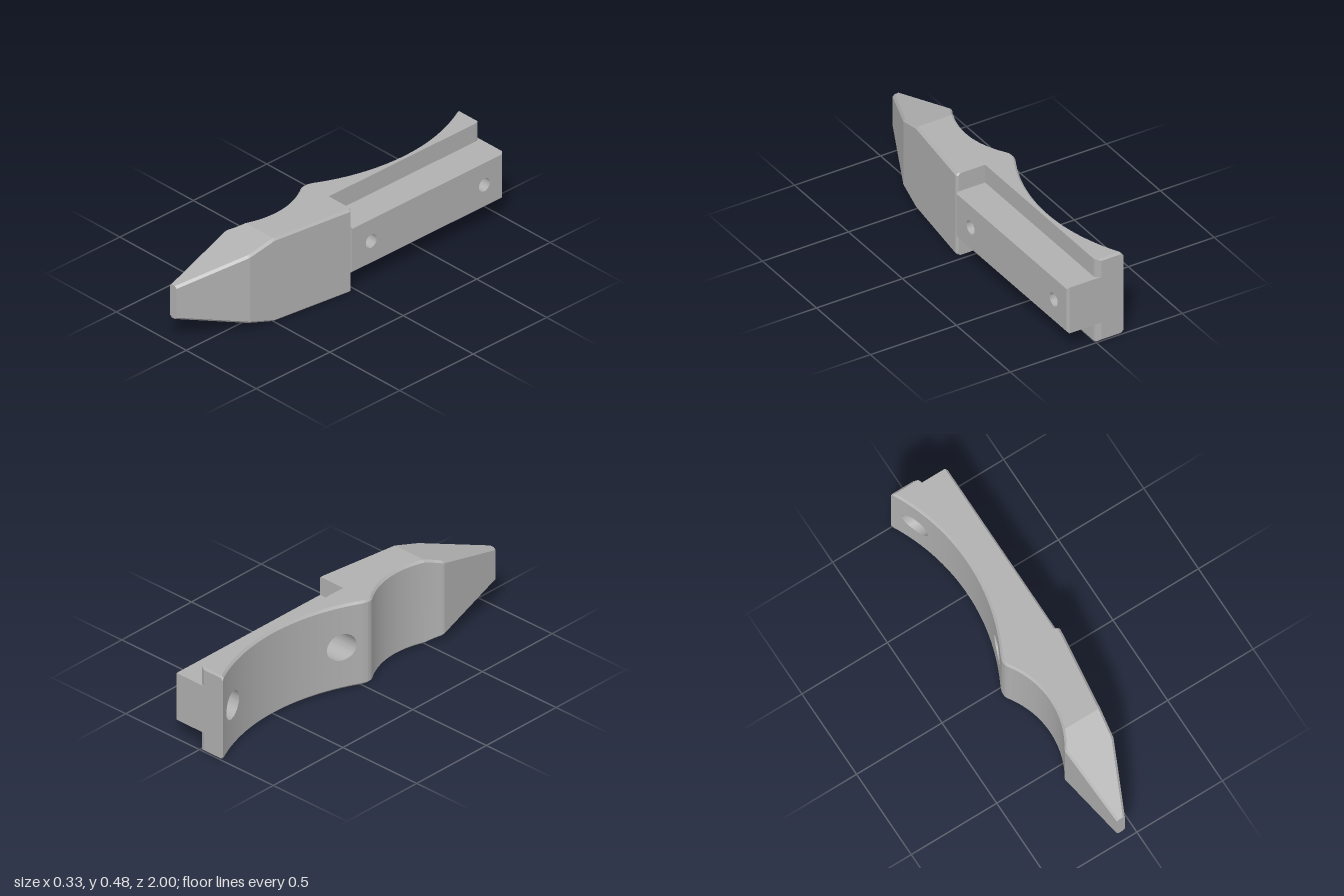
import * as THREE from 'three';
import { toCreasedNormals } from 'three/addons/utils/BufferGeometryUtils.js';

const H = 0.48, MID = 0.24, C = 0.012;          // height, mid height, edge chamfer
const STEP = 0.03;                               // where the thick nose meets the rail
const RAIL_LO = 0.108, RAIL_HI = 0.376, RAIL_X = 0.166;
const HOLES = [-0.1, -0.87], BORE = 0.075, PIN = 0.037, FLOOR = 0.07, PATCH = 0.1;

// piecewise linear lookup
function lerpPath(pts, z) {
  for (let i = 1; i < pts.length; i++) {
    const [z0, x0] = pts[i - 1], [z1, x1] = pts[i];
    if (z <= z1) return x0 + (x1 - x0) * (z - z0) / (z1 - z0);
  }
  return pts[pts.length - 1][1];
}
const arc = (z, mid, top, r) => top - (r - Math.sqrt(r * r - (z - mid) ** 2));

// scalloped finger side
function leftX(z) {
  if (z <= 0) return arc(z, -0.5, -0.033, 1.06);
  if (z < 0.07) return lerpPath([[0, -0.157], [0.015, -0.164], [0.03, -0.168], [0.05, -0.168], [0.07, -0.162]], z);
  if (z < 0.59) return arc(z, 0.33, -0.08, 0.46);
  return lerpPath([[0.59, -0.157], [1, -0.117]], z);
}
// flat side: thin slab with rounded tail, then thick nose
function rightX(z, nose) {
  if (nose) return lerpPath([[STEP, 0.156], [0.04, 0.165], [0.65, 0.087], [1, -0.07]], z);
  return z < -0.97 ? -0.03 + Math.sqrt(Math.max(0, 0.0009 - (z + 0.97) ** 2)) : 0;
}
const topY = z => lerpPath([[-1, H - 0.01], [-0.99, H], [0.5, H], [1, 0.335]], z);

function ring(z, nose) {
  const l = leftX(z), r = rightX(z, nose), t = topY(z), b = H - t, cr = nose ? C : 0;
  return [
    [l, b + C], [l, t - C], [l + C, t], [r - cr, t], [r, t - cr],
    [r, Math.min(RAIL_HI, t - C)], [r, Math.max(RAIL_LO, b + C)],
    [r, b + cr], [r - cr, b], [l + C, b],
  ].map(([x, y]) => [x, y, z]);
}

function bodyGeometry() {
  const pos = [];
  const tri = (a, b, c) => pos.push(...a, ...b, ...c);
  const quad = (a, b, c, d) => { tri(a, b, c); tri(a, c, d); };

  // cross-sections from tail to tip
  const rings = [];
  for (let i = -100; i <= 100; i++) {
    const z = i / 100;
    if (i <= 3) rings.push({ z, p: ring(z, false) });
    if (i >= 3) rings.push({ z, p: ring(z, true) });
  }
  for (let k = 1; k < rings.length; k++) {
    const a = rings[k - 1], b = rings[k], zm = (a.z + b.z) / 2;
    for (let i = 0; i < 10; i++) {
      const j = (i + 1) % 10;
      if (i === 0 && HOLES.some(h => Math.abs(zm - h) < PATCH)) continue; // bored panel
      if (i === 5 && zm < STEP) continue;                                // behind the rail
      quad(a.p[i], b.p[i], b.p[j], a.p[j]);
    }
  }
  const tail = rings[0].p, tip = rings[rings.length - 1].p;
  for (let i = 1; i < 9; i++) {
    tri(tail[0], tail[i], tail[i + 1]);
    tri(tip[0], tip[i + 1], tip[i]);
  }

  // scalloped wall panels around each counterbore, and the bore walls
  const v = MID - C, nx = 20, ny = 40, edge = [];
  for (let i = 0; i < ny; i++) edge.push([PATCH, -v + 2 * v * i / ny]);
  for (let i = 0; i < nx; i++) edge.push([PATCH - 2 * PATCH * i / nx, v]);
  for (let i = 0; i < ny; i++) edge.push([-PATCH, v - 2 * v * i / ny]);
  for (let i = 0; i < nx; i++) edge.push([-PATCH + 2 * PATCH * i / nx, -v]);
  for (const hz of HOLES) {
    const at = (i, t) => {
      const [ez, ey] = edge[i % edge.length], s = BORE / Math.hypot(ez, ey);
      const z = hz + ez * (s + (1 - s) * t), y = MID + ey * (s + (1 - s) * t);
      return [leftX(z), y, z];
    };
    const deep = p => [FLOOR, p[1], p[2]];
    for (let i = 0; i < edge.length; i++) {
      for (let k = 0; k < 5; k++)
        quad(at(i, k / 5), at(i, (k + 1) / 5), at(i + 1, (k + 1) / 5), at(i + 1, k / 5));
      const p = at(i, 0), q = at(i + 1, 0);
      quad(p, q, deep(q), deep(p));
    }
  }
  const g = new THREE.BufferGeometry();
  g.setAttribute('position', new THREE.Float32BufferAttribute(pos, 3));
  return toCreasedNormals(g, 0.2);
}

// slice of the rail between two x positions, with both holes cut through
function railSlice(x0, x1, radius, chamfer) {
  const s = new THREE.Shape();
  s.moveTo(-STEP, RAIL_LO);
  s.lineTo(1, RAIL_LO);
  s.lineTo(1, RAIL_HI);
  s.lineTo(-STEP, RAIL_HI);
  s.closePath();
  for (const z of HOLES) s.holes.push(new THREE.Path().absarc(-z, MID, radius, 0, Math.PI * 2, true));
  const g = new THREE.ExtrudeGeometry(s, { depth: x1 - x0, bevelEnabled: false, curveSegments: 32 });
  // pull in the outer rim for the chamfer
  const p = g.attributes.position;
  for (let i = 0; i < p.count; i++) {
    if (p.getZ(i) < (x1 - x0) / 2) continue;
    if (p.getX(i) > 0.999) p.setX(i, 1 - chamfer);
    if (p.getY(i) > RAIL_HI - 0.001) p.setY(i, RAIL_HI - chamfer);
    if (p.getY(i) < RAIL_LO + 0.001) p.setY(i, RAIL_LO + chamfer);
  }
  g.rotateY(Math.PI / 2).translate(x0, 0, 0);
  return toCreasedNormals(g.index ? g.toNonIndexed() : g, 0.4);
}

export function createModel() {
  const grey = new THREE.MeshStandardMaterial({ color: 0xb0b0b0 });
  grey.name = 'grey';
  const model = new THREE.Group();
  model.name = 'gripScale';
  const add = (name, geometry, parent) => {
    const m = new THREE.Mesh(geometry, grey);
    m.name = name;
    parent.add(m);
  };
  add('scallopedBody', bodyGeometry(), model);

  const rail = new THREE.Group();
  rail.name = 'rail';
  add('railBase', railSlice(-0.03, FLOOR, BORE + 0.001, 0), rail);
  add('railCore', railSlice(FLOOR, RAIL_X - 0.01, PIN, 0), rail);
  add('railFace', railSlice(RAIL_X - 0.01, RAIL_X, PIN, 0.01), rail);
  model.add(rail);
  return model;
}
